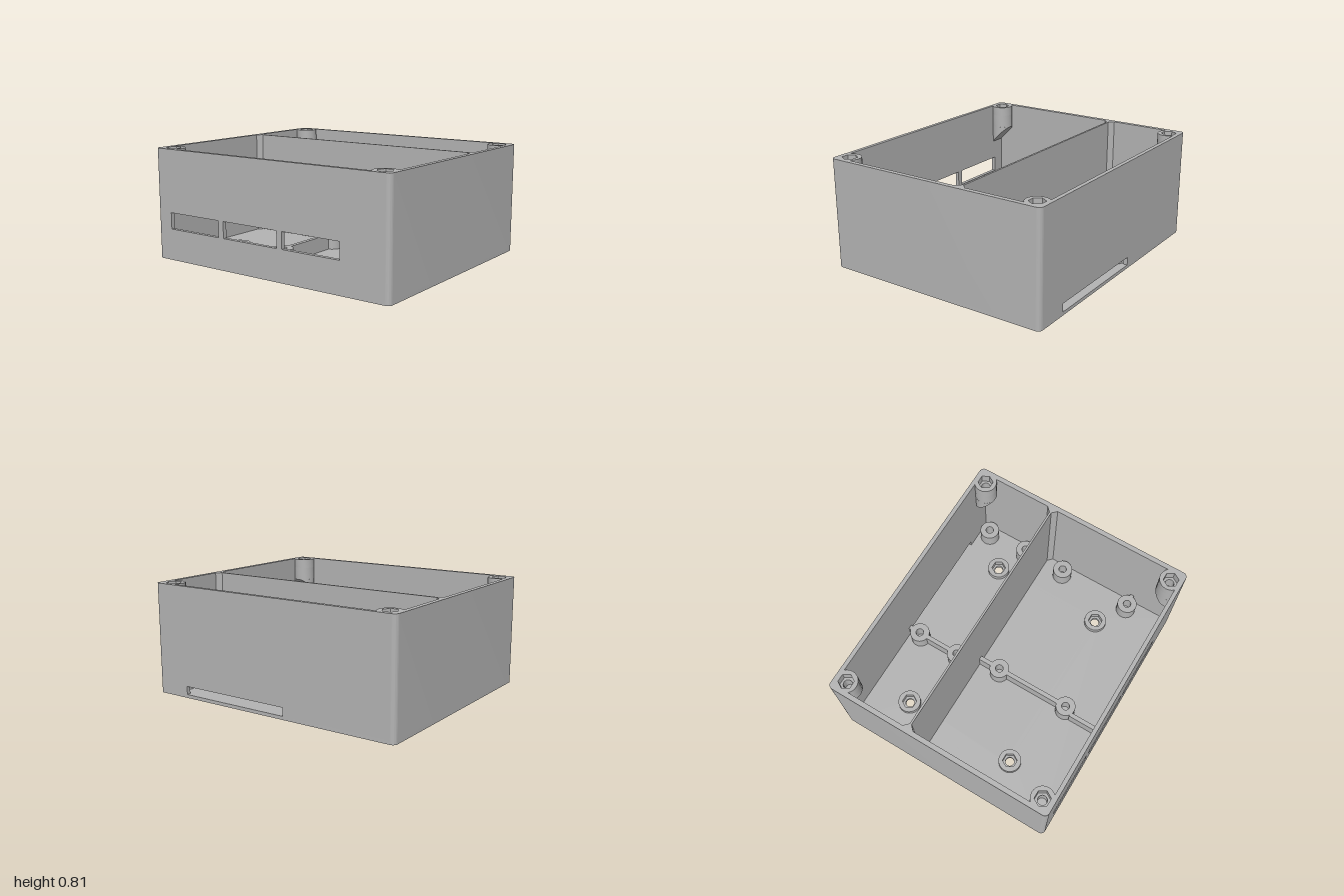
import * as THREE from 'three';
import { toCreasedNormals } from 'three/addons/utils/BufferGeometryUtils.js';

const W = 1, D = 0.86, H = 0.81;      // outer half width, half depth, height
const IX = 0.965, IZ = 0.83;          // inner half width, half depth
const FLOOR = 0.025, CORNER = 0.035;

export function createModel() {
  const model = new THREE.Group();
  const grey = new THREE.MeshStandardMaterial({ color: 0xb3b3b3 });
  grey.name = 'grey plastic';

  const add = (name, geometry) => {
    const mesh = new THREE.Mesh(toCreasedNormals(geometry, 0.6), grey);
    mesh.name = name;
    model.add(mesh);
    return mesh;
  };

  // Plan outlines use (x, -z) and are raised from y0 to y1
  const raise = (shape, y0, y1) =>
    new THREE.ExtrudeGeometry(shape, { depth: y1 - y0, bevelEnabled: false, curveSegments: 12 })
      .rotateX(-Math.PI / 2).translate(0, y0, 0);
  const circle = (T, x, y, r) => new T().absarc(x, y, r, 0, Math.PI * 2, false);
  const hexagon = (r) => new THREE.Path(Array.from({ length: 7 }, (_, i) =>
    new THREE.Vector2(r * Math.cos(i * Math.PI / 3), r * Math.sin(i * Math.PI / 3))));
  const polygon = (pts) => new THREE.Shape(pts.map(([x, y]) => new THREE.Vector2(x, y)));
  const ring = (r, hole, y0, y1) => {
    const s = circle(THREE.Shape, 0, 0, r);
    s.holes.push(hole);
    return raise(s, y0, y1);
  };
  const box = (name, x0, x1, y0, y1, z0, z1) =>
    add(name, new THREE.BoxGeometry(x1 - x0, y1 - y0, z1 - z0)
      .translate((x0 + x1) / 2, (y0 + y1) / 2, (z0 + z1) / 2));

  // Floor with four screw holes
  const mounts = [[-0.66, -0.52], [0.655, -0.52], [-0.66, 0.375], [0.655, 0.375]];
  const floor = new THREE.Shape();
  floor.absarc(W - CORNER, D - CORNER, CORNER, 0, Math.PI / 2);
  floor.absarc(-W + CORNER, D - CORNER, CORNER, Math.PI / 2, Math.PI);
  floor.absarc(-W + CORNER, -D + CORNER, CORNER, Math.PI, Math.PI * 1.5);
  floor.absarc(W - CORNER, -D + CORNER, CORNER, Math.PI * 1.5, Math.PI * 2);
  floor.closePath();
  for (const [x, z] of mounts) floor.holes.push(circle(THREE.Path, x, -z, 0.033));
  add('floor', raise(floor, 0, FLOOR));

  // Side walls with rounded outer corners
  for (const side of [-1, 1]) {
    const s = new THREE.Shape();
    s.moveTo(IX, -D);
    s.absarc(W - CORNER, -D + CORNER, CORNER, -Math.PI / 2, 0);
    s.absarc(W - CORNER, D - CORNER, CORNER, 0, Math.PI / 2);
    s.lineTo(IX, D);
    s.closePath();
    const g = raise(s, FLOOR, H);
    if (side < 0) g.rotateY(Math.PI);
    add(side > 0 ? 'leftWall' : 'rightWall', g);
  }

  // Front wall with three windows
  const front = polygon([[-IX, FLOOR], [IX, FLOOR], [IX, H], [-IX, H]]);
  for (const [a, b] of [[-0.865, -0.4], [-0.355, 0.12], [0.165, 0.63]]) {
    front.holes.push(new THREE.Path([[a, 0.23], [a, 0.35], [b, 0.35], [b, 0.23], [a, 0.23]]
      .map(([x, y]) => new THREE.Vector2(x, y))));
  }
  const panel = { depth: D - IZ, bevelEnabled: false };
  add('frontWall', new THREE.ExtrudeGeometry(front, panel).translate(0, 0, IZ));

  // Back wall with a low slot at floor level
  const back = polygon([[-IX, FLOOR], [-0.14, FLOOR], [-0.14, 0.085], [0.73, 0.085],
    [0.73, FLOOR], [IX, FLOOR], [IX, H], [-IX, H]]);
  add('backWall', new THREE.ExtrudeGeometry(back, panel).translate(0, 0, -D));

  // Divider flaring into the side walls
  add('divider', raise(polygon([[-IX, 0.19], [-IX + 0.035, 0.225], [IX - 0.035, 0.225], [IX, 0.19],
    [IX, 0.275], [IX - 0.035, 0.24], [-IX + 0.035, 0.24], [-IX, 0.275]]), FLOOR, H));

  // Floor bosses with hexagonal nut pockets
  for (const [x, z] of mounts) {
    add('nutBoss', ring(0.085, hexagon(0.055), FLOOR, 0.065)).position.set(x, 0, z);
  }

  // Board posts with pilot holes
  const top = 0.135;
  for (const [x, z] of [[-0.165, -0.74], [-0.165, -0.4], [0.878, -0.74], [0.878, -0.4],
    [-0.1, -0.055], [-0.1, 0.53], [0.878, -0.055], [0.878, 0.53]]) {
    add('boardPost', ring(0.075, circle(THREE.Path, 0, 0, 0.03), FLOOR, top)).position.set(x, 0, z);
  }

  // Low ribs joining the posts
  for (const [x, z0, z1] of [[-0.165, -0.83, -0.81], [-0.165, -0.67, -0.47], [-0.165, -0.33, -0.24],
    [-0.1, -0.225, -0.125], [-0.1, 0.015, 0.46], [-0.138, 0.59, 0.83]]) {
    box('rib', x - 0.016, x + 0.016, FLOOR, top, z0, z1);
  }
  box('postTie', 0.94, IX, FLOOR, top, 0.515, 0.545);

  // Corner screw bosses: nut pocket, screw hole, and a sloped underside
  const R = 0.083, under = 0.64, pocket = 0.74;
  for (const sx of [-1, 1]) for (const sz of [-1, 1]) {
    const parts = {
      cornerNutPocket: ring(R, hexagon(0.056), pocket, H),
      cornerScrewBoss: ring(R, circle(THREE.Path, 0, 0, 0.033), under, pocket),
    };
    const slope = new THREE.CylinderGeometry(R, R, 0.1, 32);
    const p = slope.attributes.position;
    for (let i = 0; i < p.count; i++) {
      p.setY(i, p.getY(i) > 0 ? under : under - 0.002 - (p.getZ(i) * sz + R));
    }
    parts.cornerSlopedSupport = slope;
    for (const [name, g] of Object.entries(parts)) {
      add(name, g).position.set(sx * 0.905, 0, sz * 0.773);
    }
  }
  return model;
}
